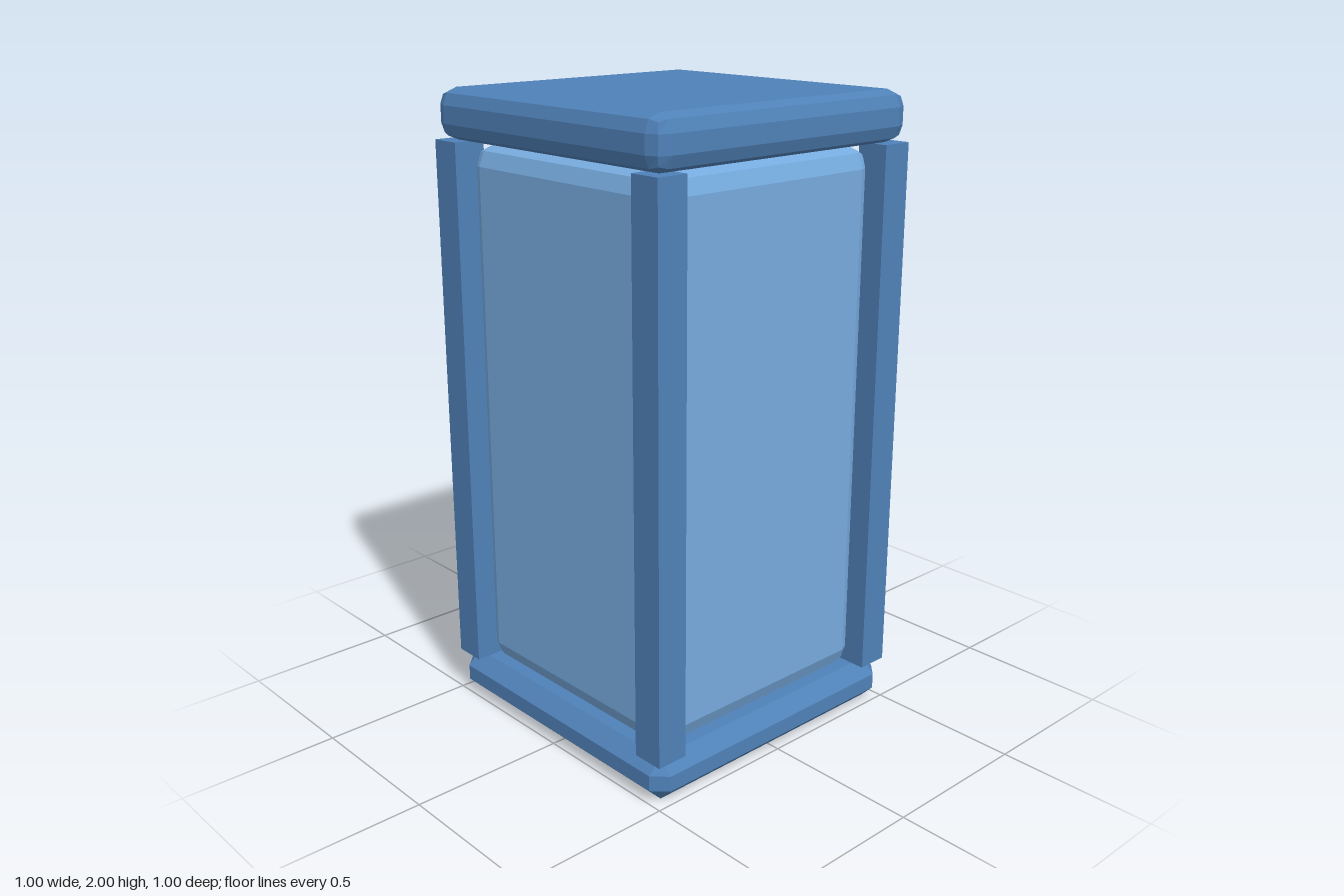
import * as THREE from 'three';
import { RoundedBoxGeometry } from 'three/addons/geometries/RoundedBoxGeometry.js';
import { ConvexGeometry } from 'three/addons/geometries/ConvexGeometry.js';

const flat = (name, color) => {
  const m = new THREE.MeshStandardMaterial({ color, flatShading: true });
  m.name = name;
  return m;
};

// Box with every edge cut by a single flat chamfer
function chamferBox(w, h, d, c) {
  const x = w / 2, y = h / 2, z = d / 2, pts = [];
  for (const sx of [-1, 1]) for (const sy of [-1, 1]) for (const sz of [-1, 1]) {
    pts.push(
      new THREE.Vector3(sx * x, sy * (y - c), sz * (z - c)),
      new THREE.Vector3(sx * (x - c), sy * y, sz * (z - c)),
      new THREE.Vector3(sx * (x - c), sy * (y - c), sz * z));
  }
  return new ConvexGeometry(pts);
}

export function createModel() {
  const group = new THREE.Group();
  const frameBlue = flat('frame blue', 0x4f81b8);
  const panelBlue = flat('panel blue', 0x76abde);

  const add = (name, geometry, material, x, y, z) => {
    const mesh = new THREE.Mesh(geometry, material);
    mesh.name = name;
    mesh.position.set(x, y, z);
    group.add(mesh);
  };

  // Chamfered foot slab and rounded top slab
  add('base', chamferBox(1, 0.14, 1, 0.045), frameBlue, 0, 0.07, 0);
  add('cap', new RoundedBoxGeometry(1, 0.155, 1, 1, 0.05), frameBlue, 0, 1.9225, 0);

  // Recessed body between the posts
  add('body', new RoundedBoxGeometry(0.87, 1.71, 0.87, 1, 0.065), panelBlue, 0, 0.98, 0);

  // Square corner posts
  const post = new THREE.BoxGeometry(0.103, 1.705, 0.103);
  for (const sx of [-1, 1]) for (const sz of [-1, 1]) {
    const name = (sz > 0 ? 'front' : 'back') + (sx > 0 ? 'Left' : 'Right') + 'Post';
    add(name, post, frameBlue, sx * 0.4485, 0.9925, sz * 0.4485);
  }
  return group;
}
